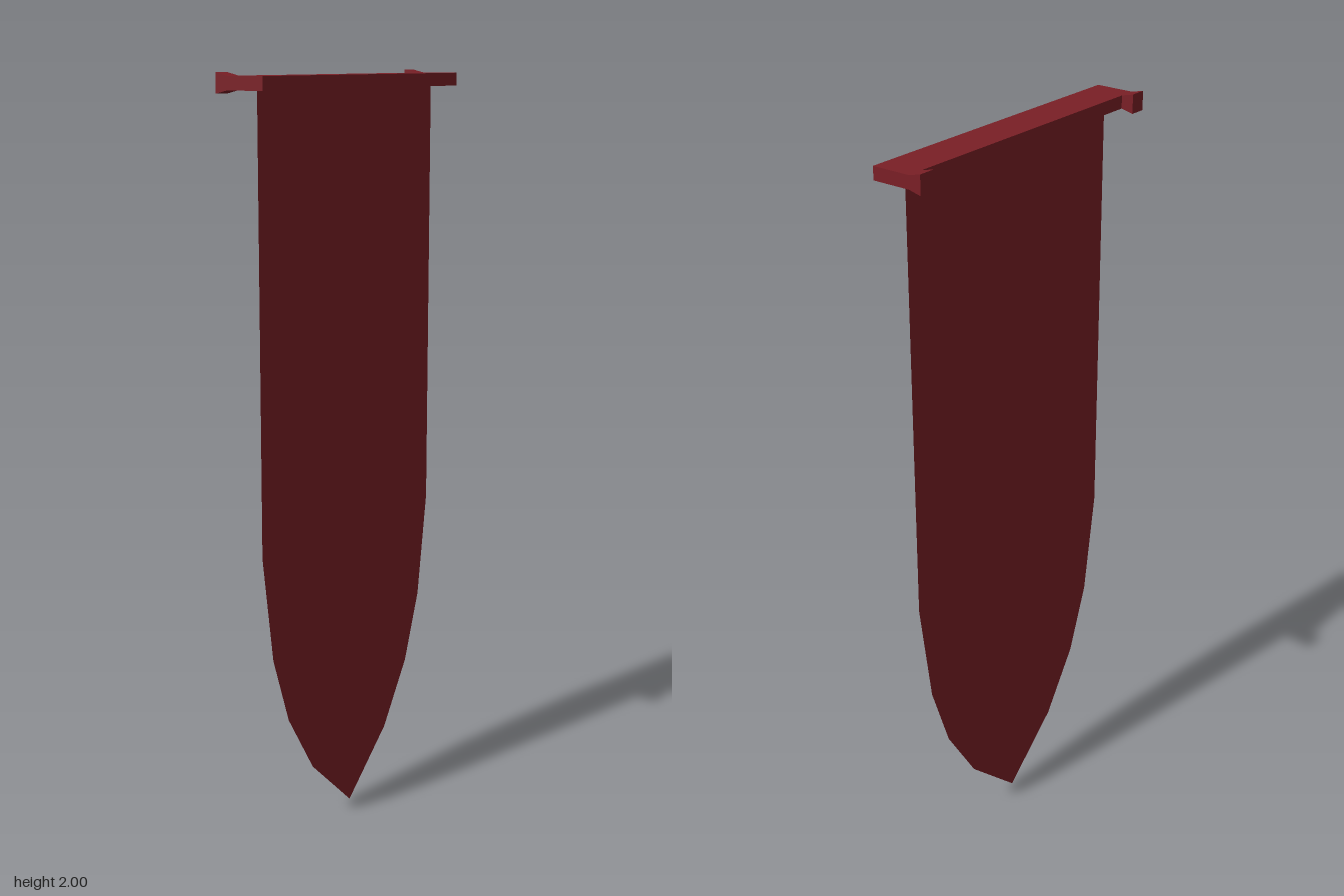
import * as THREE from 'three';

const outline = (points) => new THREE.Shape(points.map(([x, y]) => new THREE.Vector2(x, y)));

export function createModel() {
  const group = new THREE.Group();
  const red = new THREE.MeshStandardMaterial({ color: 0x7a1f26, flatShading: true });
  const clothRed = new THREE.MeshStandardMaterial({ color: 0x7a1f26, side: THREE.DoubleSide });

  const add = (name, geometry, material) => {
    const mesh = new THREE.Mesh(geometry, material);
    mesh.name = name;
    group.add(mesh);
    return mesh;
  };

  // Flat bar the cloth hangs from
  const barBottom = 1.958, barTop = 1.992, barBack = -0.037, barFront = 0.07, barHalf = 0.434;
  const barX = (barBack + barFront) / 2;
  add('crossbar', new THREE.BoxGeometry(barFront - barBack, barTop - barBottom, barHalf * 2), red)
    .position.set(barX, (barBottom + barTop) / 2, 0);

  // Flared wall brackets at both ends of the bar
  const flare = outline([[-0.071, 1.95], [barBack, barBottom], [barBack, barTop], [-0.071, 2]]);
  const depth = 0.045;
  for (const [name, z] of [['frontBracket', barHalf - depth], ['backBracket', -barHalf]]) {
    add(name, new THREE.ExtrudeGeometry(flare, { depth, bevelEnabled: false }), red).position.z = z;
  }

  // Thin hanging cloth, tapering to a point
  const side = [[0.387, barBottom], [0.387, 0.8], [0.346, 0.515], [0.282, 0.33], [0.175, 0.16]];
  const mirrored = side.map(([z, y]) => [-z, y]);
  const cloth = add('cloth', new THREE.ShapeGeometry(outline([...mirrored, [0, 0], ...side.reverse()])), clothRed);
  cloth.rotation.y = Math.PI / 2;
  cloth.position.x = barX;

  return group;
}
